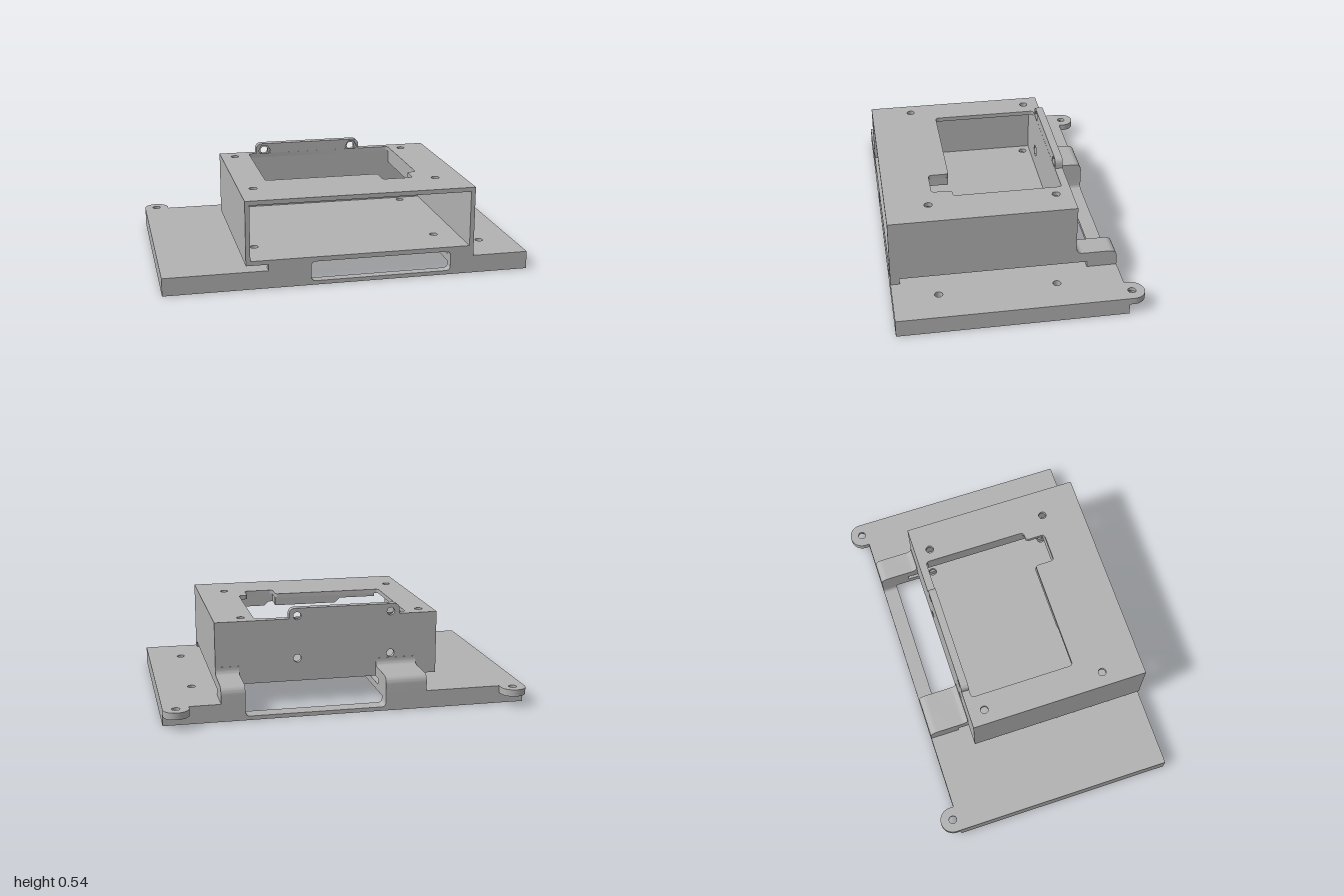
import * as THREE from 'three';
import { toCreasedNormals } from 'three/addons/utils/BufferGeometryUtils.js';

export function createModel() {
  const group = new THREE.Group();
  const grey = new THREE.MeshStandardMaterial({ color: 0xb2b2b2 });
  grey.name = 'grey';

  const add = (name, geo) => {
    const m = new THREE.Mesh(geo, grey);
    m.name = name;
    group.add(m);
    return m;
  };

  // Closed path from points [x, y, cornerRadius?]
  const outline = (pts, Type = THREE.Shape) => {
    const s = new Type();
    const n = pts.length;
    pts.forEach((p, i) => {
      const c = new THREE.Vector2(p[0], p[1]);
      const r = p[2] || 0;
      const a = new THREE.Vector2(...pts[(i + n - 1) % n].slice(0, 2)).sub(c).setLength(r).add(c);
      const b = new THREE.Vector2(...pts[(i + 1) % n].slice(0, 2)).sub(c).setLength(r).add(c);
      if (i === 0) s.moveTo(a.x, a.y); else s.lineTo(a.x, a.y);
      if (r) s.quadraticCurveTo(c.x, c.y, b.x, b.y);
    });
    s.closePath();
    return s;
  };
  const rect = (x0, y0, x1, y1, r = 0, Type = THREE.Shape) =>
    outline([[x0, y0, r], [x1, y0, r], [x1, y1, r], [x0, y1, r]], Type);
  const circle = (x, y, r = 0.022) => new THREE.Path().absarc(x, y, r, 0, Math.PI * 2, true);
  const hex = (x, y, r = 0.036) => outline([0, 1, 2, 3, 4, 5].map(i =>
    [x + r * Math.cos(i * Math.PI / 3), y + r * Math.sin(i * Math.PI / 3)]), THREE.Path);

  const extrude = (shape, depth, holes = []) => {
    shape.holes.push(...holes);
    return new THREE.ExtrudeGeometry(shape, { depth, bevelEnabled: false, curveSegments: 10 });
  };
  const alongZ = (s, z0, z1, holes) => toCreasedNormals(extrude(s, z1 - z0, holes).translate(0, 0, z0), 0.6);
  // Shapes for alongY are drawn in (x, -z)
  const alongY = (s, y0, y1, holes) =>
    toCreasedNormals(extrude(s, y1 - y0, holes).rotateX(-Math.PI / 2).translate(0, y0, 0), 0.6);
  // Shapes for alongX are drawn in (-z, y)
  const alongX = (s, x0, x1, holes) =>
    toCreasedNormals(extrude(s, x1 - x0, holes).rotateY(Math.PI / 2).translate(x0, 0, 0), 0.6);

  const front = 0.66, back = -0.575, inF = 0.61, inB = -0.49;
  const boxBack = -0.348, boxIn = -0.305;
  const slotL = -0.21, slotR = 0.56;

  // Base: front wall, raised in the middle to carry the box, with a cable slot
  add('baseFrontWall', alongZ(
    outline([[-1, 0], [1, 0], [1, 0.098], [0.69, 0.098], [0.69, 0.132], [-0.44, 0.132], [-0.44, 0.098], [-1, 0.098]]),
    inF, front, [rect(slotL, 0.022, slotR, 0.1305, 0.025, THREE.Path)]));

  // Base: back wall, cut down to a thin rail between the brackets
  add('baseBackWall', alongZ(
    outline([[-1, 0], [1, 0], [1, 0.098], [slotR, 0.098], [slotR, 0.022, 0.025], [slotL, 0.022, 0.025], [slotL, 0.098], [-1, 0.098]]),
    back, inB));

  // Base: side walls
  for (const s of [-1, 1]) {
    add('baseSideWall', new THREE.BoxGeometry(0.08, 0.098, inF - inB))
      .position.set(s * 0.96, 0.049, (inF + inB) / 2);
  }

  // Base: thin deck on both sides of the central opening
  add('deckRight', alongY(rect(-0.92, -inF, slotL, -inB), 0.06, 0.098,
    [circle(-0.48, 0.26), circle(-0.48, -0.43)]));
  add('deckLeft', alongY(rect(slotR, -inF, 0.92, -inB), 0.06, 0.098,
    [circle(0.81, 0.22), circle(0.81, -0.415)]));

  // Screw ears with hexagonal pockets underneath
  for (const s of [-1, 1]) {
    const ear = () => {
      const e = new THREE.Shape();
      e.moveTo(s * 0.93 - 0.07, 0.57);
      e.lineTo(s * 0.93 + 0.07, 0.57);
      e.absarc(s * 0.93, 0.6, 0.07, 0, Math.PI, false);
      e.closePath();
      return e;
    };
    add('screwEarLower', alongY(ear(), 0.06, 0.08, [hex(s * 0.93, 0.602, 0.034)]));
    add('screwEarUpper', alongY(ear(), 0.08, 0.098, [circle(s * 0.93, 0.6)]));
  }

  // Rear brackets joining base and box
  const bracket = () => outline([[0.41, 0.06], [0.575, 0.06], [0.575, 0.19, 0.045],
    [-boxBack + 0.002, 0.19, 0.038], [-boxBack + 0.002, 0.235], [-boxBack - 0.01, 0.235],
    [-boxBack - 0.01, 0.132], [0.41, 0.132]]);
  add('bracketRight', alongX(bracket(), -0.44, slotL));
  add('bracketLeft', alongX(bracket(), slotR, 0.69));

  // Box: open-fronted sleeve
  const bx0 = -0.56, bx1 = 0.69, by0 = 0.132, by1 = 0.485, t = 0.024;
  const cornerHoles = () => [-0.48, 0.535].flatMap(x => [0.26, -0.43].map(y => circle(x, y)));
  add('boxFloor', alongY(rect(bx0, -front, bx1, -boxIn), by0, by0 + t, cornerHoles()));
  add('boxRoof', alongY(rect(bx0, -front, bx1, -boxIn + 0.0005), by1 - t, by1, [
    ...cornerHoles(),
    outline([[-0.39, 0.3045, 0.02], [-0.39, -0.288, 0.02], [0.245, -0.288, 0.02], [0.245, -0.4, 0.02],
      [0.415, -0.4, 0.02], [0.415, -0.288, 0.02], [0.465, -0.288, 0.02], [0.465, 0.3045, 0.02]], THREE.Path),
  ]));
  for (const x of [bx0 + t / 2, bx1 - t / 2]) {
    add('boxSide', new THREE.BoxGeometry(t, by1 - by0 - 2 * t, front - boxIn))
      .position.set(x, (by0 + by1) / 2, (front + boxIn) / 2);
  }

  // Box: back wall with raised tab, through holes behind and nut pockets inside
  const backWall = () => outline([[bx0, by0], [bx1, by0], [bx1, by1], [0.28, by1],
    [0.28, 0.543, 0.035], [-0.345, 0.543, 0.035], [-0.345, by1], [bx0, by1]]);
  const spots = [[-0.295, 0.26], [0.235, 0.26], [-0.295, 0.5], [0.235, 0.5]];
  const mid = boxIn - 0.018;
  add('boxBackOuter', alongZ(backWall(), boxBack, mid, spots.map(p => circle(...p))));
  add('boxBackInner', alongZ(backWall(), mid, boxIn, spots.map(p => hex(...p))));

  // Stepped lip hanging under the roof along the front of the cutout
  const lipTop = by1 - t;
  add('roofLip', alongZ(outline([[-0.365, lipTop], [-0.365, 0.443], [-0.15, 0.443], [-0.12, 0.415],
    [0.245, 0.415], [0.245, lipTop]]), 0.29, 0.315));
  add('roofLipNotch', alongZ(outline([[0.22, lipTop], [0.22, 0.415], [0.27, 0.415], [0.295, 0.39],
    [0.487, 0.39], [0.487, lipTop]]), 0.402, 0.427));
  add('roofLipSide', new THREE.BoxGeometry(0.02, lipTop - 0.415, 0.112)).position.set(0.233, (lipTop + 0.415) / 2, 0.346);
  add('roofLipSide', new THREE.BoxGeometry(0.02, lipTop - 0.39, 0.7)).position.set(0.477, (lipTop + 0.39) / 2, 0.055);

  return group;
}
